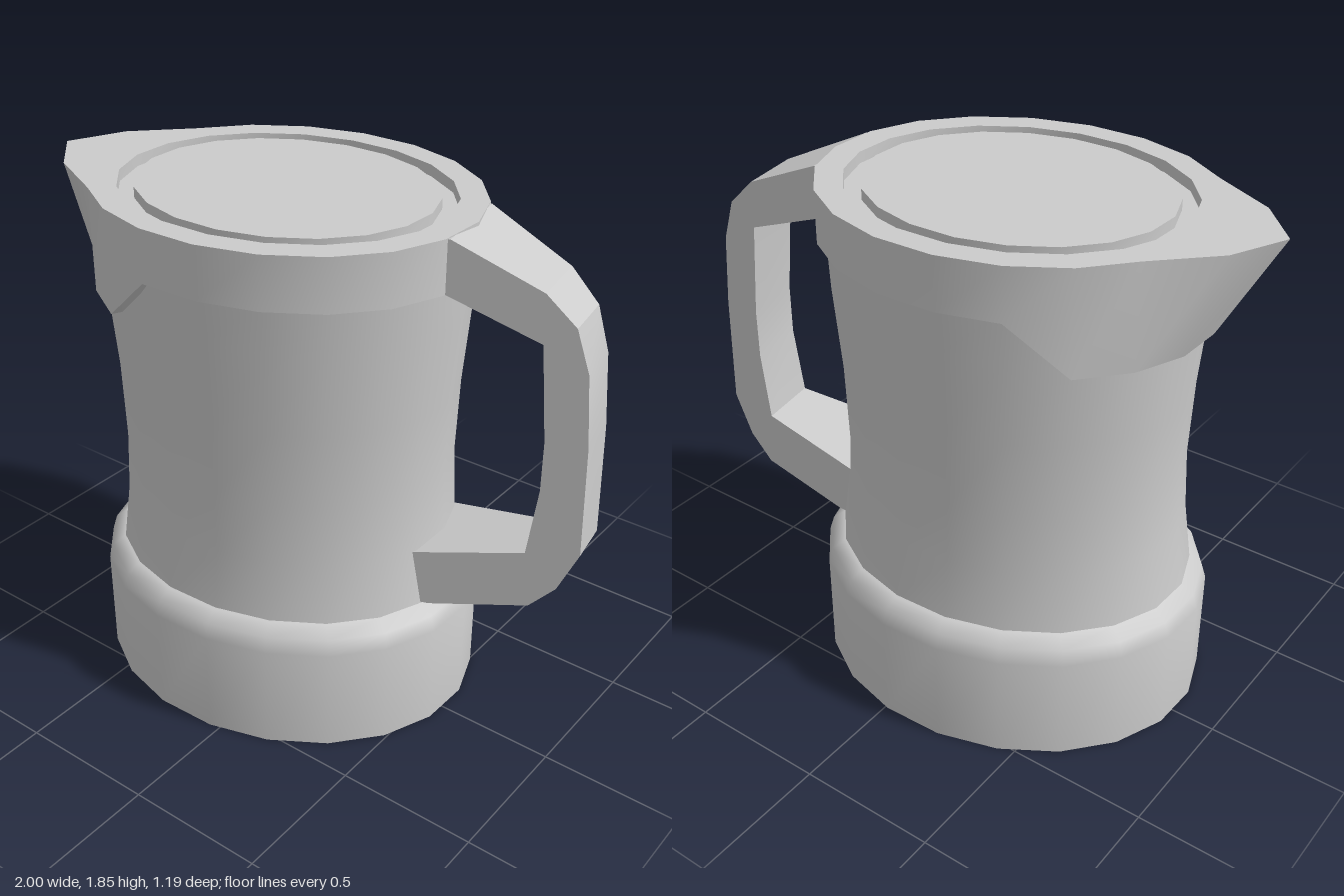
import * as THREE from 'three';
import { toCreasedNormals } from 'three/addons/utils/BufferGeometryUtils.js';

const SIDES = 20;
const material = new THREE.MeshStandardMaterial({ color: 0xcccccc });

// One elliptical cross-section; adjust(point, sideIndex) may reshape it.
function ring(a, b, y, adjust) {
  return Array.from({ length: SIDES }, (_, i) => {
    const t = (i / SIDES) * Math.PI * 2;
    const p = new THREE.Vector3(a * Math.cos(t), y, b * Math.sin(t));
    if (adjust) adjust(p, i);
    return p;
  });
}

// Skin over a list of rings, in order from the outside bottom upwards.
function loft(name, rings, crease = 0.6) {
  const positions = rings.flat().flatMap((p) => [p.x, p.y, p.z]);
  const index = [];
  for (let j = 0; j < rings.length - 1; j++) {
    for (let i = 0; i < SIDES; i++) {
      const n = (i + 1) % SIDES;
      const p = j * SIDES + i, q = j * SIDES + n;
      const up = p + SIDES, upNext = q + SIDES;
      index.push(p, up, q, up, upNext, q);
    }
  }
  const geometry = new THREE.BufferGeometry();
  geometry.setAttribute('position', new THREE.Float32BufferAttribute(positions, 3));
  geometry.setIndex(index);
  const mesh = new THREE.Mesh(toCreasedNormals(geometry, crease), material);
  mesh.name = name;
  return mesh;
}

// Lower edge of the collar drops down around the spout.
const dropBelowSpout = (p, i) => {
  if (i >= 7 && i <= 13) p.y = 1.48;
};

// Upper edge of the collar is pulled out into a pointed spout.
const pullSpout = (p, i) => {
  if (i === 10) p.x = -0.877;
  if (i === 9 || i === 11) {
    p.x = -0.755;
    p.z = Math.sign(p.z) * 0.183;
  }
};

// Handle: a closed side outline whose thickness tapers away from the body.
function makeHandle() {
  const outline = [
    [0.6, 1.842], [0.655, 1.842], [0.95, 1.71], [1.052, 1.61], [1.1, 1.46], [1.122, 1.2],
    [1.133, 0.8], [1.067, 0.65], [0.98, 0.56], [0.64, 0.485], [0.57, 0.485],
    [0.57, 0.685], [0.955, 0.77], [0.985, 1.02], [0.985, 1.2], [0.955, 1.54], [0.58, 1.685],
  ];
  const shape = new THREE.Shape(outline.map(([x, y]) => new THREE.Vector2(x, y)));
  const geometry = new THREE.ExtrudeGeometry(shape, { depth: 2, bevelEnabled: false });
  geometry.translate(0, 0, -1);
  const pos = geometry.attributes.position;
  for (let i = 0; i < pos.count; i++) {
    const halfWidth = 0.165 - 0.165 * (pos.getX(i) - 0.64);
    pos.setZ(i, pos.getZ(i) * halfWidth);
  }
  geometry.computeVertexNormals();
  const mesh = new THREE.Mesh(toCreasedNormals(geometry, 0.3), material);
  mesh.name = 'handle';
  return mesh;
}

export function createModel() {
  const model = new THREE.Group();
  model.name = 'kettle';

  // Base with a rounded shoulder
  const base = loft('base', [
    ring(0, 0, 0), ring(0.712, 0.598, 0), ring(0.712, 0.598, 0.39),
    ring(0.695, 0.582, 0.445), ring(0.65, 0.54, 0.48), ring(0.5, 0.4, 0.48),
  ], 0.8);

  // Waisted body
  const body = loft('body', [
    [0.65, 0.53, 0.475], [0.618, 0.507, 0.7], [0.606, 0.502, 0.92],
    [0.617, 0.505, 1.2], [0.642, 0.528, 1.5], [0.65, 0.535, 1.68],
  ].map(([a, b, y]) => ring(a, b, y)));

  // Collar with spout, and the groove around the lid
  const collar = loft('collarAndSpout', [
    ring(0.58, 0.47, 1.66, dropBelowSpout),
    ring(0.678, 0.565, 1.66, dropBelowSpout),
    ring(0.678, 0.565, 1.845, pullSpout),
    ring(0.582, 0.478, 1.845),
    ring(0.582, 0.478, 1.805),
    ring(0.5, 0.41, 1.805),
  ]);

  // Lid
  const lid = loft('lid', [
    ring(0.523, 0.43, 1.8), ring(0.523, 0.43, 1.843), ring(0, 0, 1.843),
  ]);

  // The spout-to-handle axis is turned slightly
  model.add(base, body, collar, lid, makeHandle());
  model.rotation.y = 0.162;
  model.position.x = -0.135;

  const root = new THREE.Group();
  root.name = 'kettleModel';
  root.add(model);
  return root;
}
